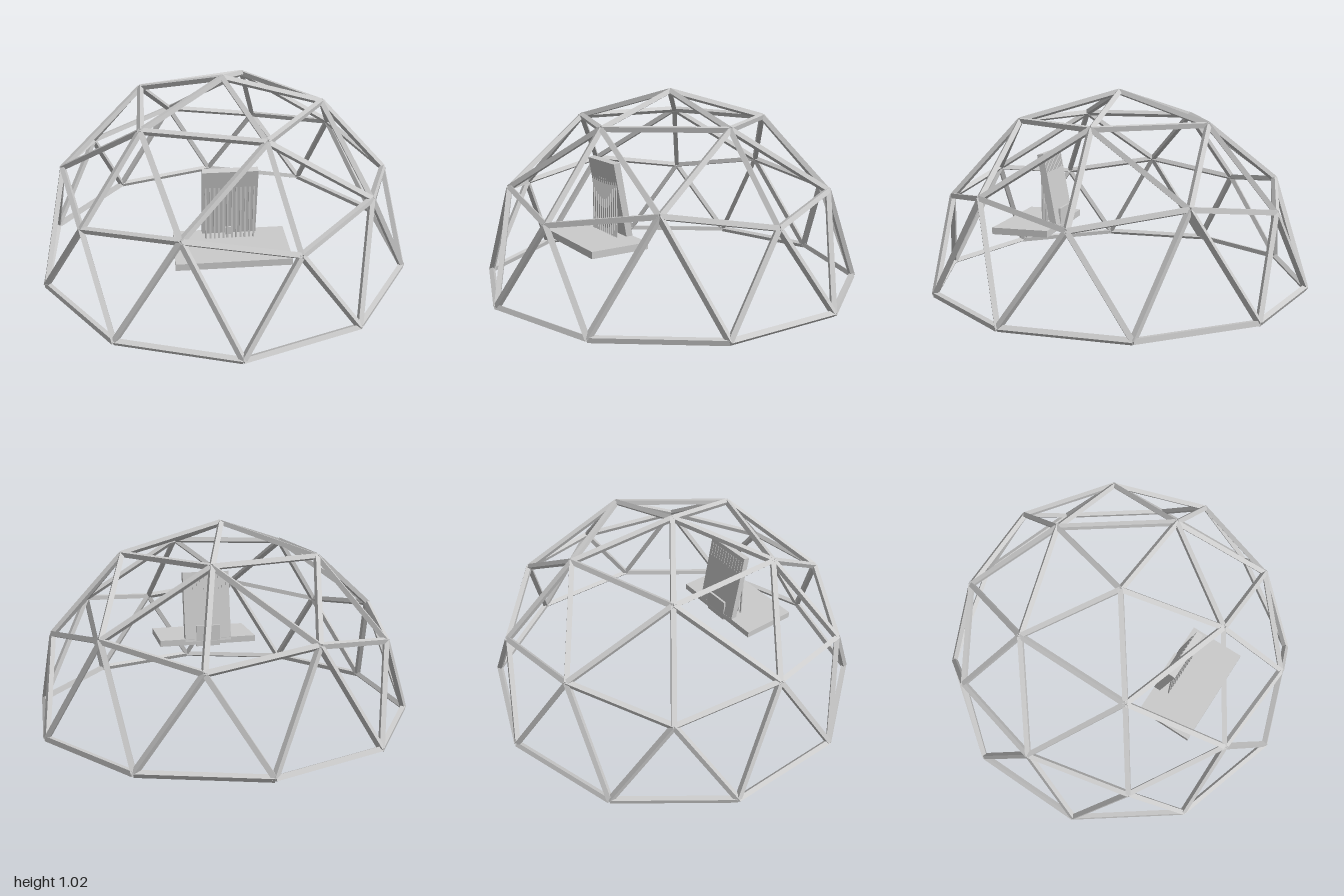
import * as THREE from 'three';

const R = 0.984;      // dome radius
const r = 0.0175;     // strut radius
const grey = new THREE.MeshStandardMaterial({ color: 0xcccccc, flatShading: true });

function box(name, w, h, d, x, y, z, parent) {
  const mesh = new THREE.Mesh(new THREE.BoxGeometry(w, h, d), grey);
  mesh.name = name;
  mesh.position.set(x, y, z);
  parent.add(mesh);
  return mesh;
}

// Square-section bar between two points
function strut(a, b) {
  const dir = b.clone().sub(a);
  const mesh = new THREE.Mesh(new THREE.CylinderGeometry(r, r, dir.length(), 4), grey);
  mesh.name = 'strut';
  mesh.position.copy(a).add(b).multiplyScalar(0.5);
  mesh.quaternion.setFromUnitVectors(new THREE.Vector3(0, 1, 0), dir.normalize());
  return mesh;
}

// Rings of joints: polar angle, count and starting turn, all in degrees
function domeJoints() {
  const joints = [];
  const rings = [[0, 1, 0], [31.717, 5, 0], [58.283, 5, 36], [63.435, 5, 0], [90, 10, 18]];
  for (const [polar, count, start] of rings) {
    const p = THREE.MathUtils.degToRad(polar);
    for (let i = 0; i < count; i++) {
      const t = THREE.MathUtils.degToRad(start + (i * 360) / count);
      joints.push(new THREE.Vector3(
        R * Math.sin(p) * Math.cos(t), r + R * Math.cos(p), R * Math.sin(p) * Math.sin(t)));
    }
  }
  return joints;
}

export function createModel() {
  const model = new THREE.Group();
  model.name = 'domeWithSeat';

  // Geodesic frame: every pair of neighbouring joints gets a strut
  const frame = new THREE.Group();
  frame.name = 'domeFrame';
  const joints = domeJoints();
  joints.forEach((a, i) => {
    for (const b of joints.slice(i + 1)) {
      if (a.distanceTo(b) < 0.7 * R) frame.add(strut(a, b));
    }
  });
  model.add(frame);

  // Seat with a leaning back
  const seat = new THREE.Group();
  seat.name = 'seat';
  const tilt = 0.177;
  box('seatPlate', 0.56, 0.035, 0.305, 0, 0.2825, 0.4625, seat);
  const back = box('backPanel', 0.27, 0.4, 0.035, 0, 0.478, 0.36, seat);
  back.rotation.x = tilt;
  box('bracket', 0.14, 0.12, 0.012, 0, 0.315, 0.314, seat);
  box('bracketBlock', 0.04, 0.04, 0.05, 0, 0.32, 0.338, seat);

  // Upright rods in front of the back, and short ones behind its top edge
  const rods = 12;
  for (let i = 0; i < rods; i++) {
    const x = -0.118 + (0.236 * i) / (rods - 1);
    box('frontRod', 0.009, 0.35, 0.007, x, 0.475, 0.393, seat);
    box('backRod', 0.009, 0.075, 0.006, x, 0.615, 0.367, seat).rotation.x = tilt;
  }
  model.add(seat);
  return model;
}
